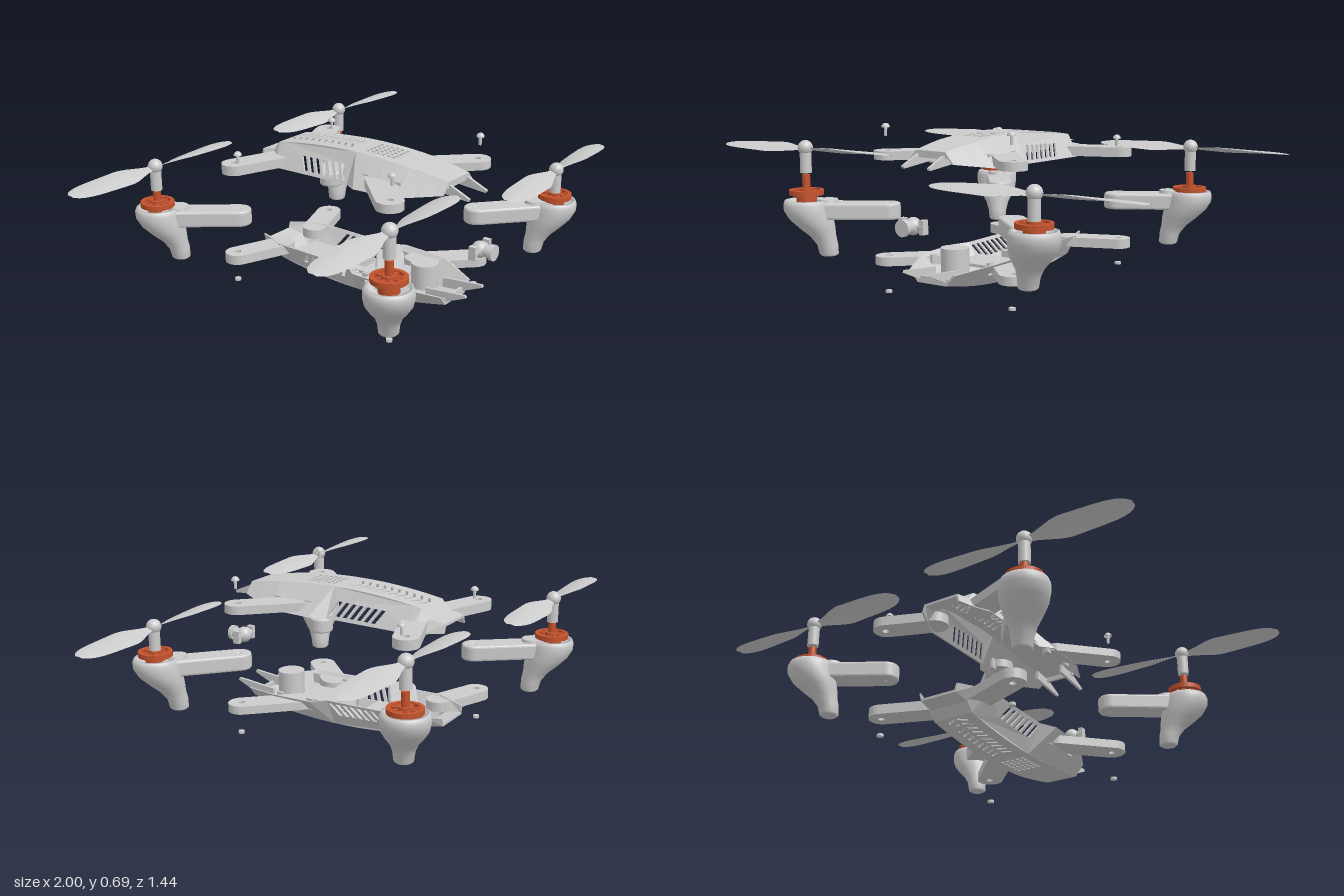
import * as THREE from 'three';

const grey = new THREE.MeshStandardMaterial({ color: 0xcccccc, side: THREE.DoubleSide });
const flat = new THREE.MeshStandardMaterial({ color: 0xcccccc, side: THREE.DoubleSide, flatShading: true });
const orange = new THREE.MeshStandardMaterial({ color: 0xc4522c });
const { lerp, smoothstep } = THREE.MathUtils;

function add(parent, name, geo, x = 0, y = 0, z = 0, mat = grey) {
  const m = new THREE.Mesh(geo, mat);
  m.name = name;
  m.position.set(x, y, z);
  parent.add(m);
  return m;
}
const cyl = (rTop, rBottom, h, n = 32) => new THREE.CylinderGeometry(rTop, rBottom, h, n);
const polygon = (pts, Type = THREE.Shape) => new Type(pts.map(p => new THREE.Vector2(...p)));

// Flat bar with round ends between two plan points, with an optional hole at the far end
function bar(ax, az, bx, bz, hw, y0, y1, hole, bevel = 0) {
  const len = Math.hypot(bx - ax, bz - az), r = hw - bevel;
  const s = new THREE.Shape();
  s.absarc(0, 0, r, Math.PI / 2, Math.PI * 1.5, false);
  s.absarc(len, 0, r, -Math.PI / 2, Math.PI / 2, false);
  if (hole) s.holes.push(new THREE.Path().absarc(len, 0, hole, 0, Math.PI * 2, true));
  const g = new THREE.ExtrudeGeometry(s, {
    depth: y1 - y0 - 2 * bevel, curveSegments: 14, bevelEnabled: bevel > 0,
    bevelSize: bevel, bevelThickness: bevel, bevelSegments: 3,
  });
  return g.rotateX(Math.PI / 2).rotateY(-Math.atan2(bz - az, bx - ax)).translate(ax, y1 - bevel, az);
}

// Shell cross-sections: z, deck half width, lower edge half width, lower edge y
const sections = [
  [-0.43, 0.08, 0.09, 0.525], [-0.36, 0.085, 0.12, 0.52], [-0.3, 0.088, 0.15, 0.52],
  [0.07, 0.09, 0.15, 0.525], [0.13, 0.09, 0.19, 0.53], [0.33, 0.088, 0.185, 0.535], [0.495, 0.07, 0.11, 0.56],
];
function sectionAt(z) {
  let i = 0;
  while (i < sections.length - 2 && z > sections[i + 1][0]) i++;
  const a = sections[i], b = sections[i + 1], t = (z - a[0]) / (b[0] - a[0]);
  return a.map((v, k) => lerp(v, b[k], t));
}
function deckY(z) {
  if (z < -0.36) return lerp(0.56, 0.572, (z + 0.43) / 0.07);
  if (z < -0.33) return lerp(0.572, 0.61, (z + 0.36) / 0.03);
  return 0.645 - 0.22 * (z - 0.07) ** 2;
}

// Thin plate with holes, drawn in (u, v) and bent by a mapping rule
function panel(outline, holes, map) {
  const s = polygon(outline);
  holes.forEach(h => s.holes.push(polygon(h, THREE.Path)));
  const g = new THREE.ExtrudeGeometry(s, { depth: 0.01, bevelEnabled: false });
  const p = g.attributes.position;
  for (let i = 0; i < p.count; i++) p.setXYZ(i, ...map(p.getX(i), p.getY(i), p.getZ(i)));
  g.computeVertexNormals();
  return g;
}
const rect = (u0, u1, v0, v1) => [[u0, v0], [u1, v0], [u1, v1], [u0, v1]];

function makeShell() {
  const g = new THREE.Group();
  // Deck strips, u = fraction of half width, v = z
  const deckMap = (u, z, w) => [u * sectionAt(z)[1], deckY(z) - w, z];
  const strip = (z0, z1, holes = []) => add(g, 'deck', panel(rect(-1, 1, z0, z1), holes, deckMap), 0, 0, 0, flat);
  const plain = [-0.43, -0.36, -0.33, -0.32];
  for (let i = 0; i < 3; i++) strip(plain[i], plain[i + 1]);
  for (let i = 0; i < 10; i++) {
    const z = -0.32 + i * 0.034;
    strip(z, z + 0.034, [-1, 1].map(s => [
      [s * 0.08, z + 0.002], [s * 0.5, z + 0.02], [s * 0.5, z + 0.032], [s * 0.08, z + 0.014]]));
  }
  strip(0.02, 0.085);
  for (let i = 0; i < 6; i++) {
    const z = 0.085 + i * 0.025;
    strip(z, z + 0.025, [-2, -1, 0, 1, 2].map(k => rect(k * 0.26 - 0.08, k * 0.26 + 0.08, z + 0.005, z + 0.019)));
  }
  const front = [0.235, 0.28, 0.33, 0.38, 0.44, 0.495];
  for (let i = 0; i < 5; i++) strip(front[i], front[i + 1]);

  // Sloping sides, u = z, v = fraction from deck to lower edge
  const breaks = [-0.43, -0.36, -0.33, -0.3, 0.07, 0.13, 0.2, 0.26, 0.33, 0.41, 0.495];
  for (const side of [-1, 1]) {
    const map = (z, t, w) => {
      const [, d, b, yb] = sectionAt(z);
      return [side * (lerp(d, b, t) - w * 0.8), lerp(deckY(z), yb, t) - w * 0.5 * (1 - t), z];
    };
    for (let i = 0; i < breaks.length - 1; i++) {
      const slots = [];
      if (breaks[i] === -0.3) for (let k = 0; k < 7; k++) {
        const z = -0.185 + k * 0.033;
        slots.push([[z, 0.42], [z + 0.019, 0.42], [z + 0.052, 0.9], [z + 0.033, 0.9]]);
      }
      add(g, 'sideWall', panel(rect(breaks[i], breaks[i + 1], 0, 1), slots, map), 0, 0, 0, flat);
    }
    // Arm stubs with screw holes, reinforcing ribs and front prongs
    add(g, 'frontArmStub', bar(side * 0.14, 0.22, side * 0.305, 0.39, 0.055, 0.545, 0.58, 0.014), 0, 0, 0, flat);
    add(g, 'rearArmStub', bar(side * 0.11, -0.31, side * 0.305, -0.385, 0.052, 0.525, 0.565, 0.014), 0, 0, 0, flat);
    for (const z of [0.16, 0.31])
      add(g, 'rib', new THREE.BoxGeometry(0.012, 0.05, 0.03), side * 0.14, 0.56, z);
    const prong = polygon([[0.4, 0.6], [0.5, 0.59], [0.585, 0.553], [0.58, 0.543], [0.4, 0.56]]);
    const pg = new THREE.ExtrudeGeometry(prong, { depth: 0.012, bevelEnabled: false });
    add(g, 'prong', pg.rotateY(-Math.PI / 2).translate(side * 0.062 + 0.006, 0, 0), 0, 0, 0, flat);
  }
  add(g, 'noseLip', new THREE.BoxGeometry(0.15, 0.025, 0.012), 0, 0.59, 0.488);
  return g;
}

// Motor pod: a teardrop whose foot leans towards the body
function podGeometry(dx, dz) {
  const pts = [[0, 0.155], [0.03, 0.155], [0.038, 0.162], [0.042, 0.2], [0.052, 0.235], [0.072, 0.27],
    [0.088, 0.305], [0.094, 0.34], [0.093, 0.365], [0.087, 0.38], [0.076, 0.382], [0.074, 0.36], [0, 0.358]];
  const g = new THREE.LatheGeometry(pts.map(p => new THREE.Vector2(...p)), 36);
  const p = g.attributes.position;
  for (let i = 0; i < p.count; i++) {
    const k = 0.085 * smoothstep(0.36 - p.getY(i), 0, 0.19);
    p.setX(i, p.getX(i) + dx * k);
    p.setZ(i, p.getZ(i) + dz * k);
  }
  g.computeVertexNormals();
  return g;
}

// Twisted blade with a rounded tip
function bladeGeometry() {
  const g = new THREE.PlaneGeometry(1, 1, 24, 6);
  const p = g.attributes.position;
  for (let i = 0; i < p.count; i++) {
    const t = p.getX(i) + 0.5, c = p.getY(i);
    const w = 0.112 * (0.25 + 0.75 * smoothstep(t, 0, 0.4)) * Math.sqrt(1 - 0.92 * Math.max(0, (t - 0.55) / 0.45) ** 4);
    const a = lerp(0.5, 0.1, Math.sqrt(t)), camber = 0.07 * w * (1 - 4 * c * c);
    p.setXYZ(i, 0.01 + t * 0.423, c * w * Math.sin(a) + camber, c * w * Math.cos(a));
  }
  g.computeVertexNormals();
  return g;
}

function makeMotor(parent, y) {
  const g = new THREE.Group();
  g.name = 'motor';
  g.position.y = y;
  parent.add(g);
  const ring = new THREE.Shape().absarc(0, 0, 0.069, 0, Math.PI * 2, false);
  ring.holes.push(new THREE.Path().absarc(0, 0, 0.053, 0, Math.PI * 2, true));
  const rg = new THREE.ExtrudeGeometry(ring, { depth: 0.02, bevelEnabled: false, curveSegments: 24 });
  add(g, 'motorRing', rg.rotateX(-Math.PI / 2), 0, -0.01, 0, orange);
  for (let i = 0; i < 4; i++)
    add(g, 'motorSpoke', new THREE.BoxGeometry(0.115, 0.012, 0.012), 0, 0, 0, orange).rotation.y = i * Math.PI / 4;
  add(g, 'motorHub', cyl(0.028, 0.028, 0.03), 0, 0, 0, orange);
  add(g, 'motorShaft', cyl(0.016, 0.016, 0.09), 0, 0.025, 0, orange);
  add(g, 'motorBase', cyl(0.04, 0.04, 0.04), 0, -0.03, 0, orange);
}

export function createModel() {
  const model = new THREE.Group();
  model.name = 'explodedQuadcopter';

  // Upper shell and its mirrored lower counterpart
  const upper = makeShell(), lower = makeShell();
  upper.name = 'upperShell';
  lower.name = 'lowerShell';
  lower.scale.y = -1;
  lower.position.y = 0.7;
  model.add(upper, lower);

  // Equipment inside the lower shell
  add(model, 'sensorDrum', cyl(0.056, 0.056, 0.1), 0, 0.165, 0.35);
  add(model, 'battery', new THREE.BoxGeometry(0.13, 0.05, 0.22), 0, 0.105, -0.16);
  add(model, 'circuitBoard', new THREE.BoxGeometry(0.16, 0.012, 0.18), 0, 0.13, 0.17);

  // Camera
  const camera = new THREE.Group();
  camera.name = 'camera';
  camera.position.set(0, 0.335, 0.6);
  model.add(camera);
  add(camera, 'cameraBody', new THREE.SphereGeometry(0.034, 24, 16));
  add(camera, 'cameraAxle', cyl(0.016, 0.016, 0.12, 20)).rotation.z = Math.PI / 2;
  add(camera, 'lensBarrel', cyl(0.024, 0.024, 0.05, 24), 0, 0, 0.035).rotation.x = Math.PI / 2;
  add(camera, 'lensRim', cyl(0.032, 0.032, 0.016, 24), 0, 0, 0.058).rotation.x = Math.PI / 2;
  for (const s of [-1, 1]) add(camera, 'cameraMount', new THREE.BoxGeometry(0.02, 0.055, 0.03), s * 0.05, 0, 0);

  // Four corners: pod x, z, hub top y, motor y, propeller turn, nut y
  const corners = [
    [-0.57, 0.58, 0.62, 0.412, 0.035, 0.011], [0.555, 0.62, 0.54, 0.398, 0.05, 0.027],
    [-0.51, -0.63, 0.585, 0.395, 0, 0.053], [0.565, -0.53, 0.597, 0.388, -0.02, 0.068],
  ];
  const blade = bladeGeometry();
  for (const [x, z, top, motorY, turn, nutY] of corners) {
    const sx = Math.sign(x), isFront = z > 0;
    const hx = sx * 0.305, hz = isFront ? 0.395 : -0.37;
    const len = Math.hypot(hx - x, hz - z), dx = (hx - x) / len, dz = (hz - z) / len;

    // Pod with its arm
    const pod = new THREE.Group();
    pod.name = 'motorPod';
    pod.position.set(x, 0, z);
    model.add(pod);
    add(pod, 'podBody', podGeometry(dx, dz));
    add(pod, 'podArm', bar(dx * 0.05, dz * 0.05, hx - x, hz - z, 0.052, 0.305, 0.372, 0.014, 0.01));
    add(pod, 'armBoss', cyl(0.04, 0.045, 0.02), dx * 0.085, 0.375, dz * 0.085);
    makeMotor(pod, motorY);

    // Propeller
    const prop = new THREE.Group();
    prop.name = 'propeller';
    prop.position.set(x, top, z);
    prop.rotation.y = turn;
    model.add(prop);
    add(prop, 'propShaft', cyl(0.023, 0.023, 0.105), 0, -0.078, 0);
    add(prop, 'propCap', new THREE.SphereGeometry(0.03, 24, 16), 0, -0.03, 0);
    for (const a of [0, Math.PI]) add(prop, 'blade', blade, 0, -0.035, 0).rotation.y = a;

    // Screw above and nut below
    const screwY = isFront ? 0.672 : 0.6, sz = isFront ? 0.4 : -0.365;
    add(model, 'screwHead', new THREE.SphereGeometry(0.017, 16, 8, 0, Math.PI * 2, 0, Math.PI / 2), hx, screwY, sz);
    add(model, 'screwShaft', cyl(0.007, 0.006, 0.035, 12), hx, screwY - 0.0165, sz);
    add(model, 'nut', cyl(0.014, 0.014, 0.011, 6), hx, nutY - 0.0045, isFront ? 0.395 : -0.39);
  }
  return model;
}
